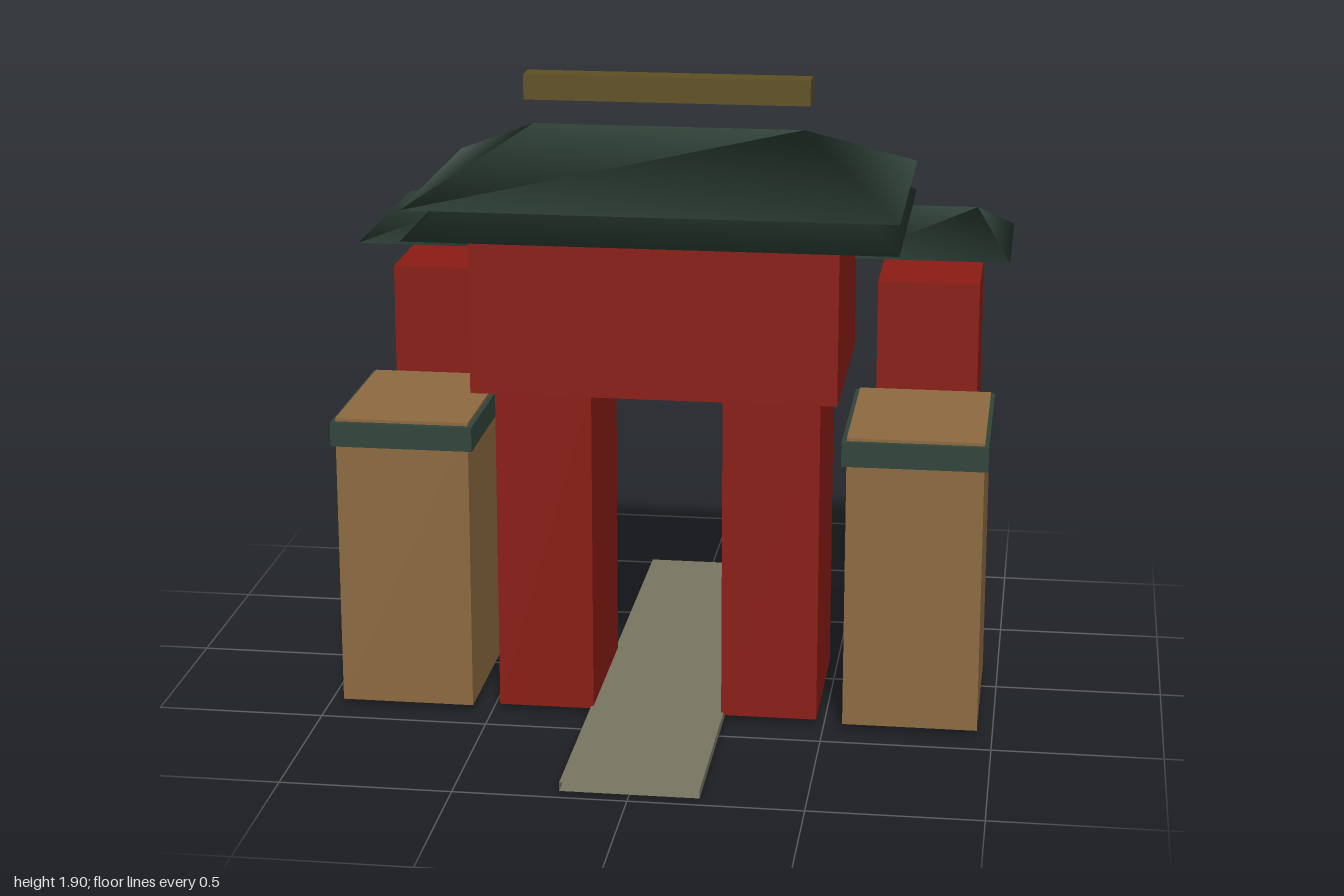
import * as THREE from 'three';

const paint = (color) => new THREE.MeshStandardMaterial({ color });

export function createModel() {
  const model = new THREE.Group();
  const red = paint(0x8b1c14);
  const stone = paint(0x8d6a41);
  const tile = paint(0x31443a);
  const gold = paint(0x5f5022);
  const paving = paint(0x7a7562);
  tile.side = paving.side = THREE.DoubleSide;

  function add(name, geometry, material) {
    const mesh = new THREE.Mesh(geometry, material);
    mesh.name = name;
    model.add(mesh);
    return mesh;
  }

  // Box given by its limits on each axis
  function box(name, material, [x0, x1], [y0, y1], [z0, z1]) {
    const geometry = new THREE.BoxGeometry(x1 - x0, y1 - y0, z1 - z0);
    geometry.translate((x0 + x1) / 2, (y0 + y1) / 2, (z0 + z1) / 2);
    return add(name, geometry, material);
  }

  // Closed hip roof with a ridge along x; shared corners give soft shading
  function hipRoof(name, x, z, halfWidth, halfDepth, halfRidge, y0, y1) {
    const geometry = new THREE.BufferGeometry();
    geometry.setAttribute('position', new THREE.Float32BufferAttribute([
      x - halfWidth, y0, z + halfDepth,
      x + halfWidth, y0, z + halfDepth,
      x + halfWidth, y0, z - halfDepth,
      x - halfWidth, y0, z - halfDepth,
      x - halfRidge, y1, z,
      x + halfRidge, y1, z,
    ], 3));
    geometry.setIndex([
      0, 1, 5, 0, 5, 4, // front slope
      2, 3, 4, 2, 4, 5, // back slope
      1, 2, 5, 3, 0, 4, // hipped ends
      0, 2, 1, 0, 3, 2, // underside
    ]);
    geometry.computeVertexNormals();
    return add(name, geometry, tile);
  }

  // Parts repeated on both sides
  for (const [side, s] of [['left', 1], ['right', -1]]) {
    const span = (a, b) => (s > 0 ? [a, b] : [-b, -a]);
    box(side + 'GateLeg', red, span(0.193, 0.478), [0.07, 1.07], [-0.11, 0.38]);
    box(side + 'StonePier', stone, span(0.557, 0.955), [0.07, 0.957], [-0.13, 0.403]);
    box(side + 'PierBand', tile, span(0.543, 0.967), [0.875, 0.948], [-0.15, 0.42]);
    box(side + 'RearTower', red, span(0.6, 0.91), [0.65, 1.27], [-0.577, -0.222]);
    hipRoof(side + 'TowerRoof', s * 0.755, -0.402, 0.245, 0.265, 0.137, 1.36, 1.47);
  }

  // Gatehouse with its double roof and floating ridge beam
  box('gatehouse', red, [-0.533, 0.533], [1.07, 1.515], [-0.2, 0.47]);
  hipRoof('lowerRoof', 0, 0.133, 0.707, 0.44, 0.4, 1.54, 1.797);
  hipRoof('upperRoof', 0, 0.133, 0.707, 0.44, 0.4, 1.63, 1.803);
  box('ridgeBeam', gold, [-0.42, 0.42], [1.88, 1.955], [0.095, 0.172]);

  // Path slab through the gate, open at its two ends
  const path = box('path', paving, [-0.2, 0.2], [0.052, 0.078], [-0.955, 0.955]);
  path.geometry.setIndex(Array.from(path.geometry.index.array).slice(0, 24));

  return model;
}
